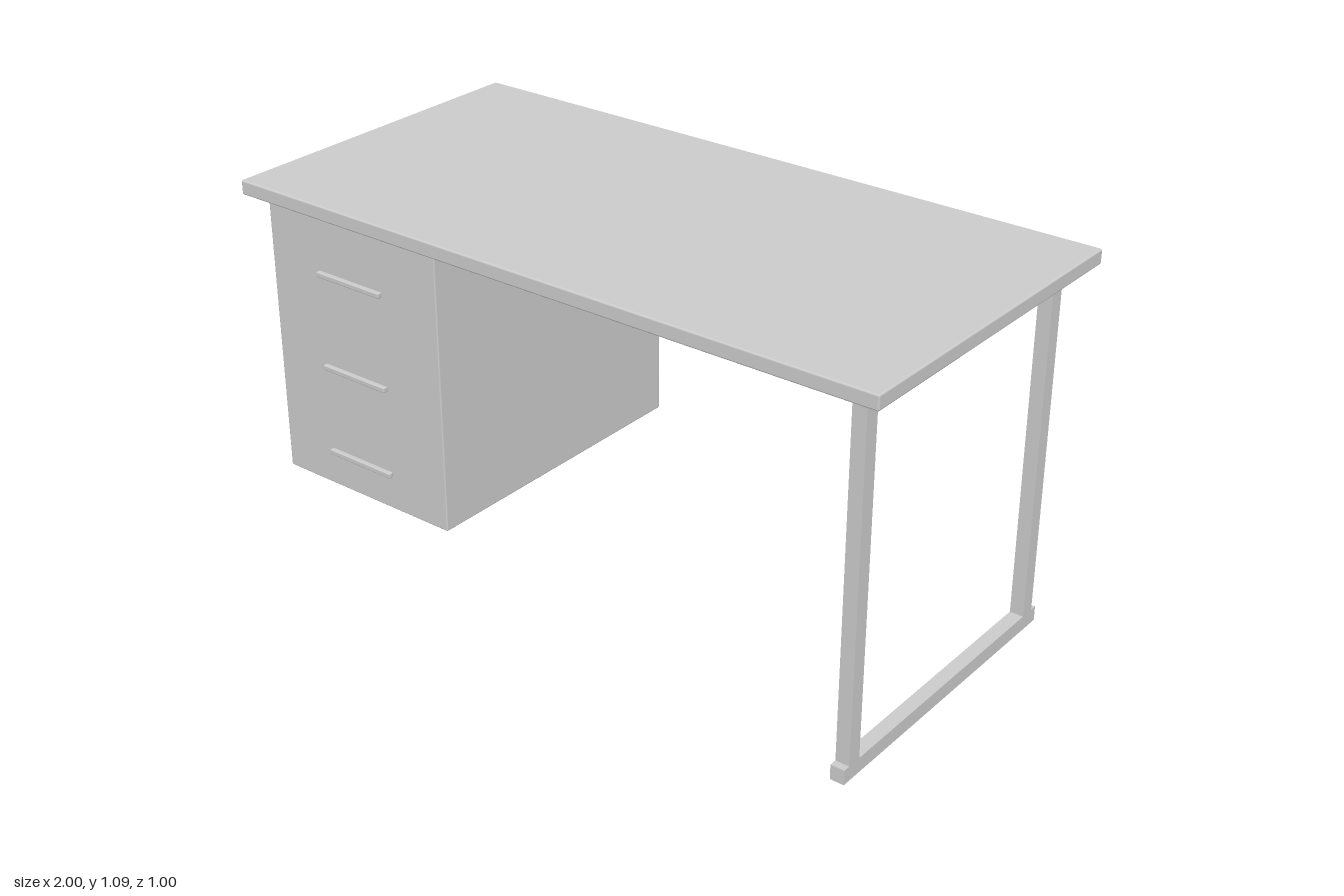
import * as THREE from 'three';
import { RoundedBoxGeometry } from 'three/addons/geometries/RoundedBoxGeometry.js';

export function createModel() {
  const desk = new THREE.Group();
  desk.name = 'desk';
  const grey = new THREE.MeshStandardMaterial({ color: 0xcccccc });
  grey.name = 'light grey';

  // Box from its min and max corners, with softened edges if a radius is given
  function box(name, [x0, y0, z0], [x1, y1, z1], radius = 0) {
    const size = [x1 - x0, y1 - y0, z1 - z0];
    const geometry = radius
      ? new RoundedBoxGeometry(...size, 2, radius)
      : new THREE.BoxGeometry(...size);
    const mesh = new THREE.Mesh(geometry, grey);
    mesh.name = name;
    mesh.position.set((x0 + x1) / 2, (y0 + y1) / 2, (z0 + z1) / 2);
    desk.add(mesh);
  }

  // Worktop
  box('worktop', [-1, 1.047, -0.5], [1, 1.088, 0.5], 0.005);

  // Hanging drawer cabinet with three bar handles
  box('drawerCabinet', [-0.947, 0.23, -0.457], [-0.348, 1.03, 0.457], 0.004);
  [0.875, 0.602, 0.344].forEach((y, i) => {
    box('drawerHandle' + (i + 1), [-0.76, y - 0.0075, 0.465], [-0.533, y + 0.0075, 0.48], 0.003);
  });

  // Leg frame: foot bar and two uprights
  box('footBar', [0.892, 0, -0.457], [0.932, 0.043, 0.457]);
  box('frontLeg', [0.892, 0.043, 0.393], [0.932, 1.047, 0.436]);
  box('backLeg', [0.892, 0.043, -0.436], [0.932, 1.047, -0.393]);

  // Rear rail from the cabinet to the leg frame
  box('rearRail', [-0.348, 0.956, -0.43], [0.885, 1.026, -0.4]);

  return desk;
}
